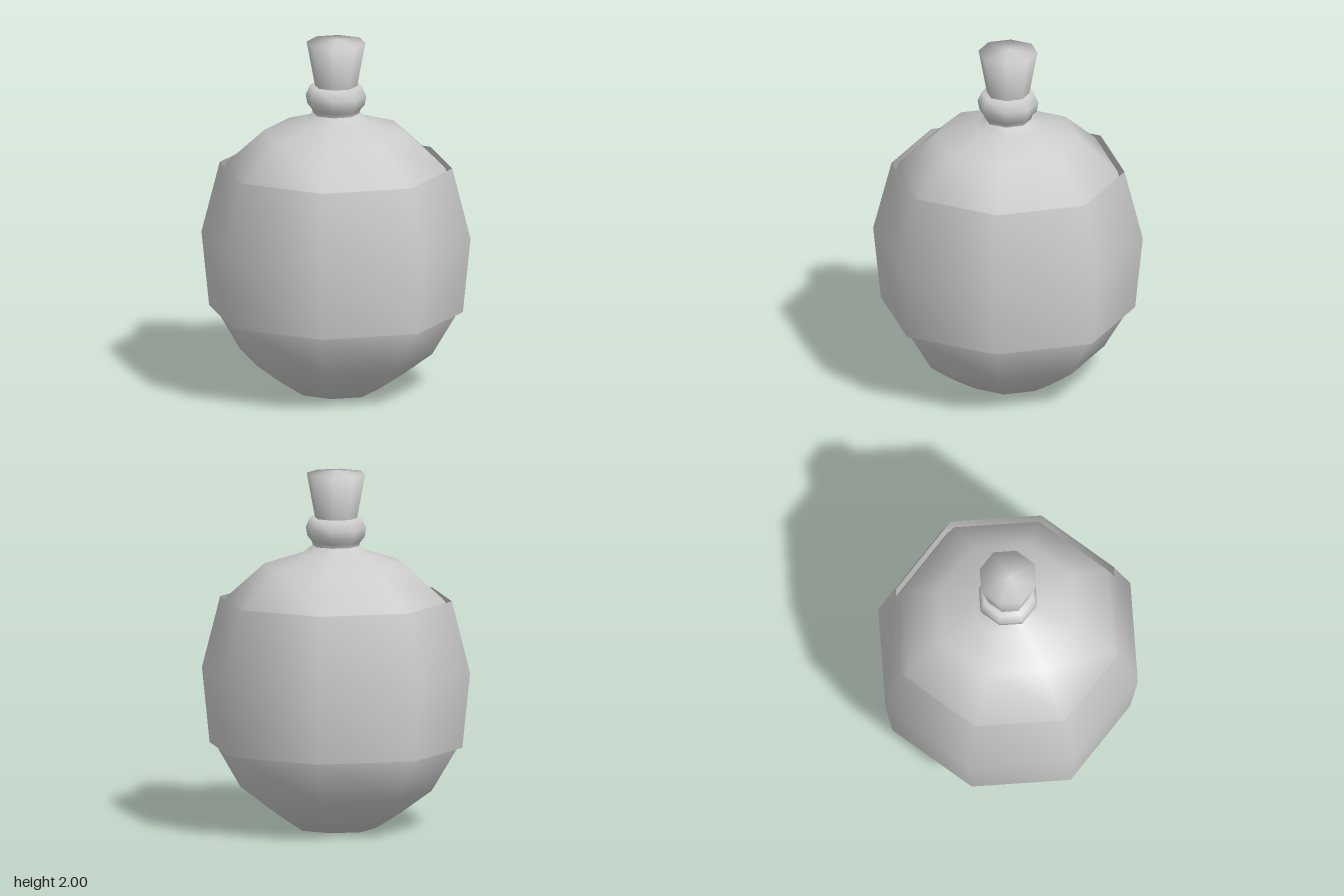
import * as THREE from 'three';

// Eight-sided smooth lathe; diagonal corners sit slightly further out.
function turned(name, profile, material) {
  const geometry = new THREE.LatheGeometry(profile.map(([r, y]) => new THREE.Vector2(r, y)), 8);
  const position = geometry.attributes.position;
  for (let i = 0; i < position.count; i++) {
    const x = position.getX(i), z = position.getZ(i);
    const k = Math.abs(x) > 0.001 && Math.abs(z) > 0.001 ? 1.028 : 1;
    position.setXYZ(i, x * k, position.getY(i), z * k);
  }
  const mesh = new THREE.Mesh(geometry, material);
  mesh.name = name;
  return mesh;
}

export function createModel() {
  const group = new THREE.Group();
  group.name = 'roundFlask';
  const grey = new THREE.MeshStandardMaterial({ color: 0xcccccc, side: THREE.DoubleSide });

  // Round vessel with shoulder
  group.add(turned('vessel', [
    [0, 0], [0.225, 0], [0.365, 0.09], [0.535, 0.215], [0.68, 0.46], [0.715, 0.88],
    [0.61, 1.28], [0.4, 1.47], [0.185, 1.54], [0.13, 1.58],
  ], grey));

  // Neck with a bulging lip
  group.add(turned('neckLip', [
    [0.13, 1.58], [0.135, 1.6], [0.16, 1.63], [0.169, 1.68], [0.145, 1.735], [0, 1.74],
  ], grey));

  // Loose sleeve around the belly, open at both ends
  group.add(turned('sleeve', [[0.707, 0.46], [0.75, 0.88], [0.648, 1.28]], grey));

  // Flared stopper with a shallow domed top
  group.add(turned('stopper', [[0.118, 1.735], [0.164, 1.983], [0, 2]], grey));
  return group;
}
